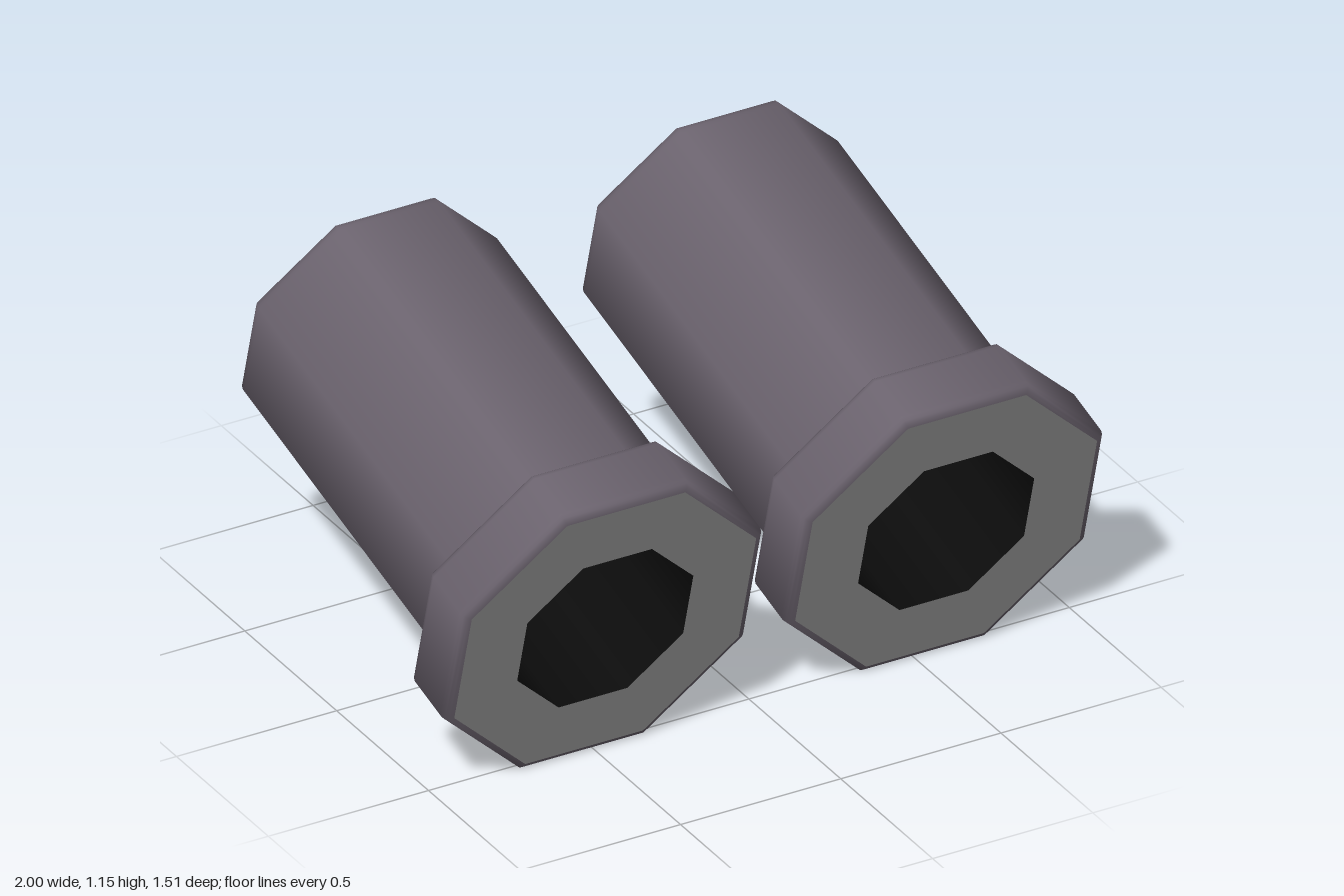
import * as THREE from 'three';

const SIDES = 8;
const TILT = THREE.MathUtils.degToRad(15);
const HALF = 0.675;      // half the tube length
const BORE = 0.259;      // distances from the axis to the flats
const BARREL = 0.3735;
const FLANGE = 0.468;
const BEVEL = 0.024;

// Octagonal lathe around z, flats facing up and sideways; profile is [flat distance, z]
function octagonLathe(name, profile, color) {
  const k = 1 / Math.cos(Math.PI / SIDES);
  const points = profile.map(([r, z]) => new THREE.Vector2(r * k, z));
  const geometry = new THREE.LatheGeometry(points, SIDES, Math.PI / SIDES);
  geometry.rotateX(Math.PI / 2);
  const mesh = new THREE.Mesh(geometry, new THREE.MeshStandardMaterial({ color }));
  mesh.name = name;
  return mesh;
}

// Points of a rounded corner, swept from angle a to b (degrees)
function corner(r, z, radius, a, b) {
  return [0, 1, 2, 3].map((i) => {
    const t = THREE.MathUtils.degToRad(a + ((b - a) * i) / 3);
    return [r + radius * Math.cos(t), z + radius * Math.sin(t)];
  });
}

function createTube(name) {
  const tube = new THREE.Group();
  tube.name = name;
  const back = -HALF;
  const front = HALF;
  const shoulder = front - 0.2;

  // Outer shell: rear rim, barrel, fillet and flange
  const shell = octagonLathe('shell', [
    [BORE, back],
    [BARREL - BEVEL - 0.01, back],
    ...corner(BARREL - BEVEL, back + BEVEL, BEVEL, -90, 0),
    [BARREL, back + BEVEL + 0.01],
    [BARREL, shoulder - 0.035],
    ...corner(BARREL + 0.025, shoulder - 0.025, 0.025, 180, 90),
    [FLANGE - BEVEL - 0.01, shoulder],
    ...corner(FLANGE - BEVEL, shoulder + BEVEL, BEVEL, -90, 0),
    [FLANGE, front - BEVEL - 0.01],
    ...corner(FLANGE - BEVEL, front - BEVEL, BEVEL, 0, 90),
  ], 0x6a626d);

  // Flat front ring
  const face = octagonLathe('frontFace', [
    [FLANGE - BEVEL, front],
    [BORE, front],
  ], 0x8c8c8c);

  // Dark through hole, facing inward
  const bore = octagonLathe('bore', [
    [BORE, front],
    [BORE, back],
  ], 0x0c0c0c);

  tube.add(shell, face, bore);
  return tube;
}

export function createModel() {
  const model = new THREE.Group();
  model.name = 'twinTubes';
  for (const [side, name] of [[1, 'leftTube'], [-1, 'rightTube']]) {
    const tube = createTube(name);
    tube.position.set(side * 0.532, 0.621, -0.006);
    tube.rotation.x = TILT;
    model.add(tube);
  }
  return model;
}
